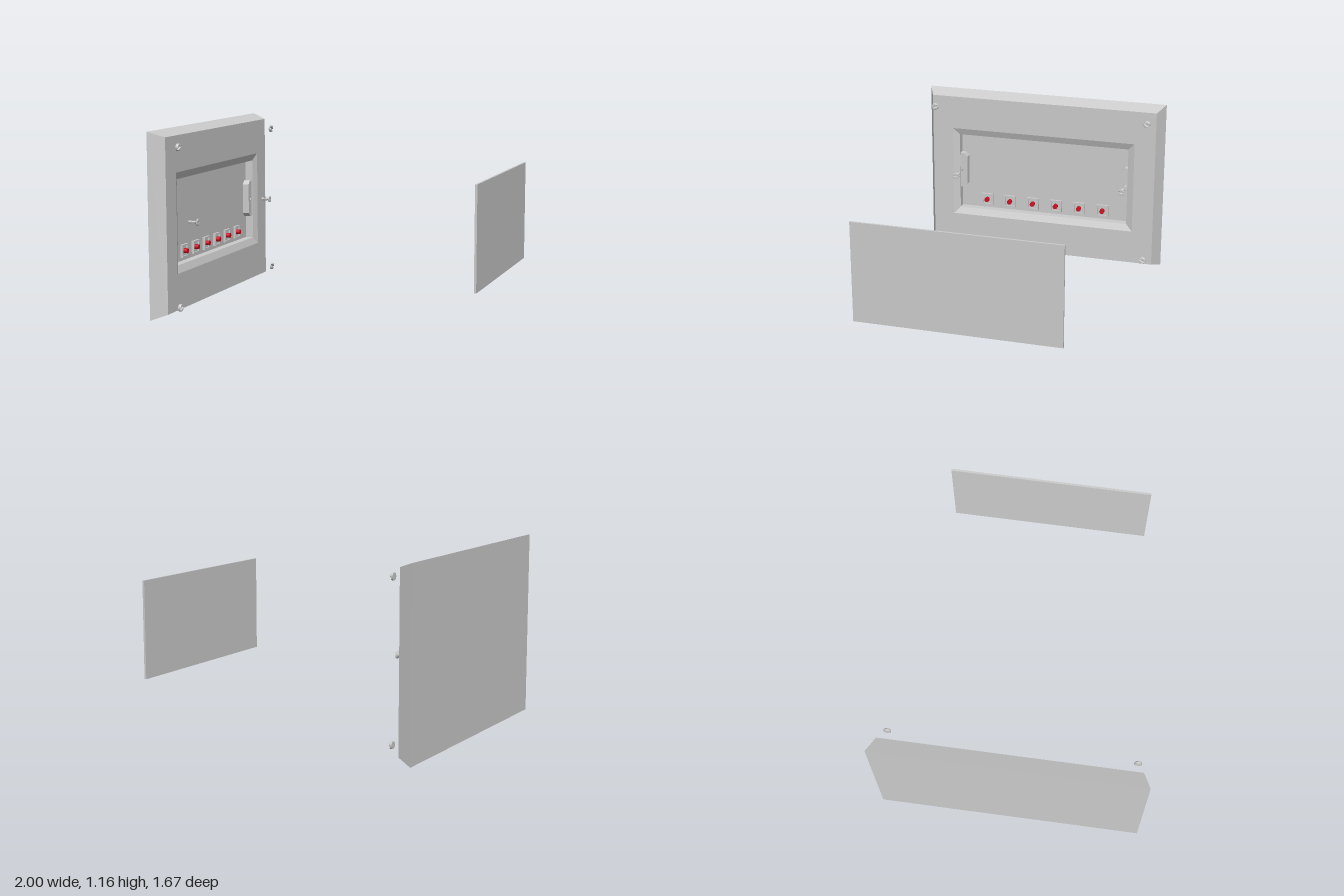
import * as THREE from 'three';

const grey = new THREE.MeshStandardMaterial({ color: 0xcccccc });
const flat = new THREE.MeshStandardMaterial({ color: 0xcccccc, flatShading: true });
const red = new THREE.MeshStandardMaterial({ color: 0xcc1122 });
const MID = 0.584; // height of the frame centre

function add(parent, name, geometry, material, x = 0, y = 0, z = 0) {
  const mesh = new THREE.Mesh(geometry, material);
  mesh.name = name;
  mesh.position.set(x, y, z);
  parent.add(mesh);
  return mesh;
}

// Skin of nested rectangles [halfWidth, halfHeight, depth], closed at both ends
function rectLoft(rings) {
  const loops = rings.map(([w, h, z]) => [[-w, -h, z], [w, -h, z], [w, h, z], [-w, h, z]]);
  const pos = [];
  const quad = (a, b, c, d) => pos.push(...a, ...b, ...c, ...a, ...c, ...d);
  for (let k = 0; k < loops.length - 1; k++) {
    for (let i = 0; i < 4; i++) {
      const j = (i + 1) % 4;
      quad(loops[k][i], loops[k][j], loops[k + 1][j], loops[k + 1][i]);
    }
  }
  const first = loops[0], last = loops[loops.length - 1];
  quad(first[3], first[2], first[1], first[0]);
  quad(...last);
  const g = new THREE.BufferGeometry();
  g.setAttribute('position', new THREE.Float32BufferAttribute(pos, 3));
  g.computeVertexNormals();
  return g;
}

// Round head with a slot: a base disc and two raised circle segments
function slottedHead(r, height, slot) {
  const head = new THREE.Group();
  head.name = 'slottedHead';
  const base = new THREE.CylinderGeometry(r, r, height * 0.45, 24).rotateX(Math.PI / 2);
  add(head, 'headBase', base, grey, 0, 0, height * 0.225);
  const inner = r * 0.8, bevel = r * 0.2;
  const a = Math.asin((slot + bevel) / inner);
  const shape = new THREE.Shape();
  shape.absarc(0, 0, inner, a, Math.PI - a, false);
  shape.closePath();
  const half = new THREE.ExtrudeGeometry(shape, {
    depth: height * 0.2, bevelEnabled: true, bevelSize: bevel,
    bevelThickness: height * 0.4, bevelSegments: 4, curveSegments: 14,
  });
  for (const turn of [0, Math.PI]) {
    add(head, 'headHalf', half, grey, 0, 0, height * 0.4).rotation.z = turn;
  }
  return head;
}

// Threaded screw pointing to -z, head at z = 0
function makeScrew() {
  const screw = new THREE.Group();
  screw.name = 'mountingScrew';
  const profile = [[0, -0.07], [0.007, -0.06], [0.008, -0.012], [0.022, -0.002], [0.022, 0.001], [0, 0.001]]
    .map(([r, y]) => new THREE.Vector2(r, y));
  add(screw, 'shank', new THREE.LatheGeometry(profile, 20).rotateX(Math.PI / 2), flat);
  const path = [];
  for (let i = 0; i <= 70; i++) {
    const t = i / 70, ang = t * Math.PI * 2 * 5;
    path.push(new THREE.Vector3(0.0085 * Math.cos(ang), 0.0085 * Math.sin(ang), -0.062 + 0.046 * t));
  }
  const thread = new THREE.TubeGeometry(new THREE.CatmullRomCurve3(path), 100, 0.0025, 5);
  add(screw, 'thread', thread, grey);
  const head = slottedHead(0.022, 0.005, 0.003);
  screw.add(head);
  return screw;
}

function makeSwitch() {
  const unit = new THREE.Group();
  unit.name = 'switchUnit';
  const s = 0.042, t = 0.032;
  const rim = new THREE.Shape([[-s, -s], [s, -s], [s, s], [-s, s]].map(p => new THREE.Vector2(...p)));
  rim.holes.push(new THREE.Path([[-t, -t], [-t, t], [t, t], [t, -t]].map(p => new THREE.Vector2(...p))));
  add(unit, 'switchRim', new THREE.ExtrudeGeometry(rim, { depth: 0.016, bevelEnabled: false }), flat);
  add(unit, 'switchPlate', new THREE.BoxGeometry(2 * t, 2 * t, 0.006), flat, 0, 0, 0.003);
  const knob = new THREE.CylinderGeometry(0.016, 0.016, 0.03, 20).rotateX(Math.PI / 2);
  add(unit, 'redButton', knob, red, 0, 0, 0.018);
  return unit;
}

// Side bracket with tapered ends and a screw hole; side is -1 or 1
function makeBracket(side) {
  const pts = [[0.6, -0.125], [0.6, 0.125], [0.575, 0.125], [0.55, 0.1], [0.55, -0.1], [0.575, -0.125]];
  const shape = new THREE.Shape(pts.map(([x, y]) => new THREE.Vector2(side * x, y)));
  const hole = new THREE.Path();
  hole.absarc(side * 0.583, 0, 0.011, 0, Math.PI * 2, true);
  shape.holes.push(hole);
  return new THREE.ExtrudeGeometry(shape, { depth: 0.044, bevelEnabled: false, curveSegments: 16 });
}

export function createModel() {
  const model = new THREE.Group();
  model.name = 'explodedSwitchPanel';

  // Everything is laid out facing +z, then turned to face +x
  const body = new THREE.Group();
  body.name = 'assembly';
  body.rotation.y = Math.PI / 2;
  model.add(body);

  // Bevelled housing with a recess
  const housing = rectLoft([
    [0.835, 0.58, -1], [0.788, 0.545, -0.9], [0.645, 0.316, -0.9],
    [0.6, 0.27, -0.918], [0.6, 0.27, -0.97],
  ]);
  add(body, 'housing', housing, flat, 0, MID, 0);

  // Row of switches along the bottom of the recess
  for (let i = 0; i < 6; i++) {
    const unit = makeSwitch();
    unit.position.set(-0.415 + i * 0.167, 0.376, -0.97);
    body.add(unit);
  }

  // Brackets and their screws on both sides
  for (const side of [-1, 1]) {
    add(body, 'sideBracket', makeBracket(side), flat, 0, 0.59, -0.97);
    const screw = makeScrew();
    screw.position.set(side * 0.587, 0.59, -0.785);
    body.add(screw);
  }

  // Corner screw heads floating in front of the housing
  const corners = [[-0.75, 1.067, 0.35], [0.738, 1.067, -0.5], [-0.75, 0.08, 0.35], [0.738, 0.092, -0.5]];
  for (const [x, y, turn] of corners) {
    const cap = slottedHead(0.023, 0.017, 0.004);
    cap.name = 'cornerScrewCap';
    cap.position.set(x, y, -0.84);
    cap.rotation.z = turn;
    body.add(cap);
  }

  // Cover pane, pulled far forward
  add(body, 'coverPane', new THREE.BoxGeometry(1.292, 0.635, 0.014), flat, 0, MID, 0.993);
  return model;
}
